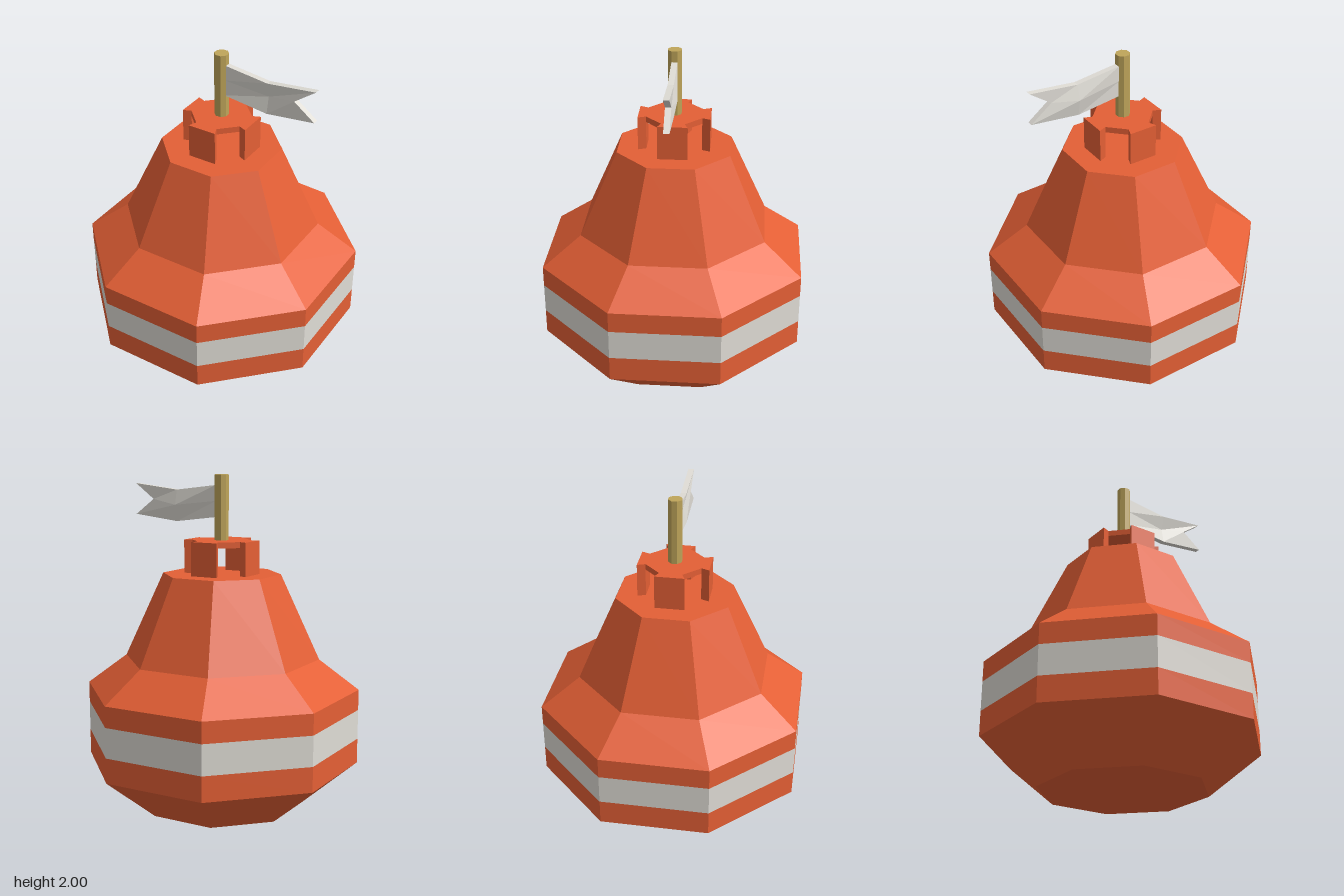
import * as THREE from 'three';

const paint = (color) => new THREE.MeshStandardMaterial({ color, flatShading: true });

export function createModel() {
  const group = new THREE.Group();
  const orange = paint(0xe45f35);
  const white = paint(0xdfdcd5);
  const brass = paint(0xbfa55a);

  const add = (name, geometry, material, y = 0) => {
    const mesh = new THREE.Mesh(geometry, material);
    mesh.name = name;
    mesh.position.y = y;
    group.add(mesh);
    return mesh;
  };

  // Eight-sided solids turned from [radius, height] profiles, bottom to top
  const turned = (points) =>
    new THREE.LatheGeometry(points.map(([r, y]) => new THREE.Vector2(r, y)), 8);

  add('lowerHull', turned([[0, 0], [0.5, 0], [0.83, 0.27], [0.83, 0.42]]), orange);
  add('whiteBand', turned([[0.83, 0.42], [0.83, 0.6]]), white);
  add('upperHull', turned([
    [0.83, 0.6], [0.83, 0.725], [0.59, 0.905], [0.355, 1.415], [0, 1.415],
  ]), orange);

  // Four wall segments carrying the cap plate, with open gaps between them
  const inner = 0.175, outer = 0.226;
  const wall = new THREE.Shape();
  wall.moveTo(inner, 0);
  wall.lineTo(outer, 0);
  wall.lineTo(outer * Math.SQRT1_2, outer * Math.SQRT1_2);
  wall.lineTo(inner * Math.SQRT1_2, inner * Math.SQRT1_2);
  wall.closePath();
  const wallGeometry = new THREE.ExtrudeGeometry(wall, { depth: 0.2, bevelEnabled: false });
  wallGeometry.rotateX(-Math.PI / 2);
  for (let i = 0; i < 4; i++) {
    add('capWall' + (i + 1), wallGeometry, orange, 1.415).rotation.y = i * Math.PI / 2;
  }
  add('capPlate', new THREE.CylinderGeometry(inner, inner, 0.035, 8), orange, 1.5975);

  // Flagpole
  add('pole', new THREE.CylinderGeometry(0.042, 0.042, 0.4, 8), brass, 1.8);

  // Swallow-tailed pennant: a box grid pinched at the middle and notched at the end
  const flag = new THREE.BoxGeometry(2, 2, 0.034, 2, 2, 1);
  const p = flag.attributes.position;
  for (let i = 0; i < p.count; i++) {
    const col = Math.round(p.getX(i)) + 1;
    const row = Math.round(p.getY(i));
    const x = row === 0 ? [0.03, 0.303, 0.471][col] : [0.03, 0.303, 0.598][col];
    const y = row === 0 ? [1.845, 1.815, 1.845][col]
      : row > 0 ? [1.938, 1.905, 1.938][col] : [1.75, 1.716, 1.75][col];
    const fold = row === 0 && col === 1 ? -0.02 : 0;
    p.setXYZ(i, x, y, p.getZ(i) + fold);
  }
  flag.computeVertexNormals();
  add('pennant', flag, white).rotation.y = Math.PI / 8;

  return group;
}
